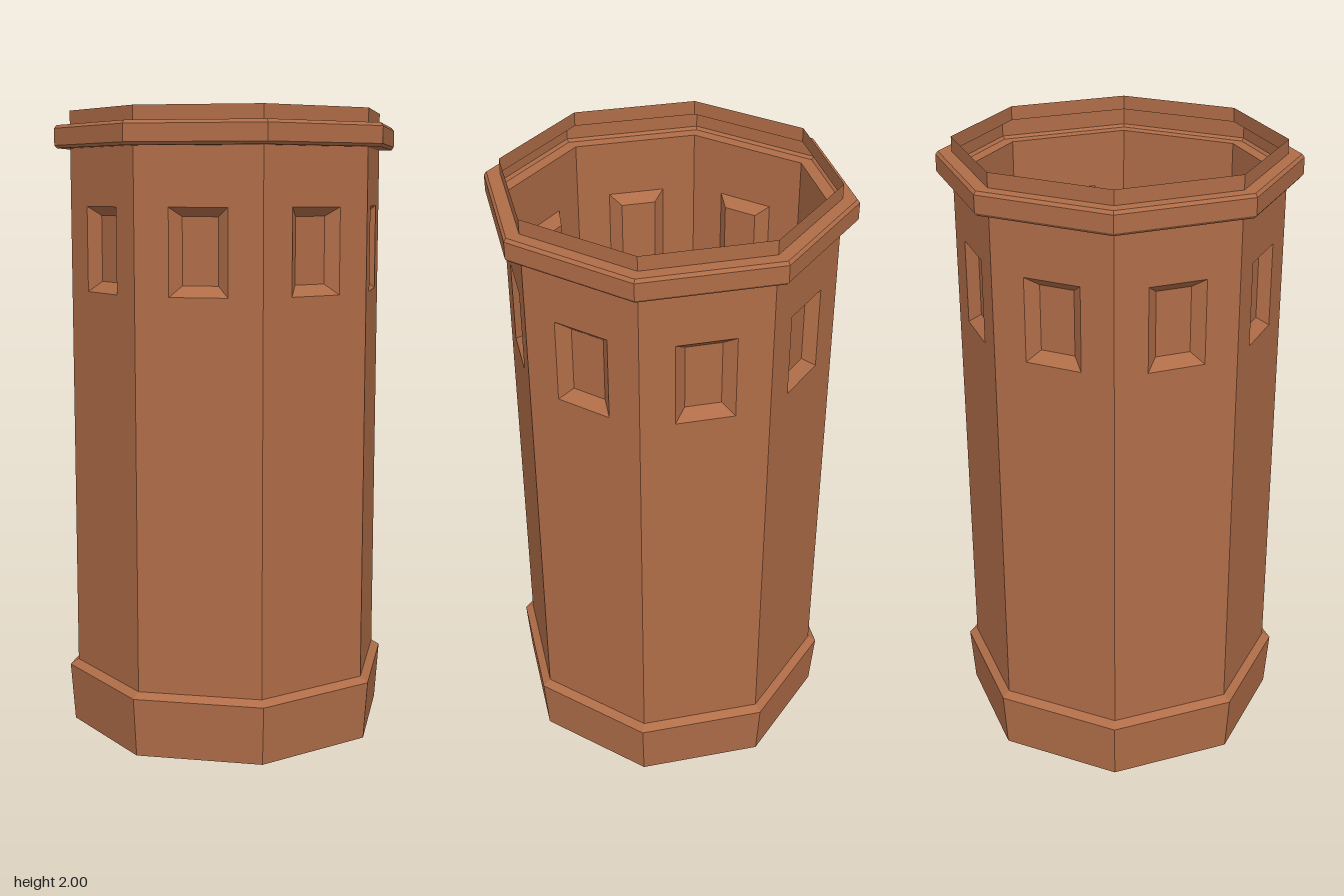
import * as THREE from 'three';

const SIDES = 8;
const RADIUS = 0.51;
const APOTHEM = RADIUS * Math.cos(Math.PI / SIDES);
const HALF_FACE = RADIUS * Math.sin(Math.PI / SIDES);
const WALL_BOTTOM = 0.205, WALL_TOP = 1.883;

const clay = new THREE.MeshStandardMaterial({
  color: 0xb06d48, flatShading: true, side: THREE.DoubleSide,
});

function part(name, geometry) {
  const flat = geometry.index ? geometry.toNonIndexed() : geometry;
  flat.computeVertexNormals();
  const mesh = new THREE.Mesh(flat, clay);
  mesh.name = name;
  return mesh;
}

// Eight-sided ring from [radius, height] pairs, bottom to top
function ring(name, profile) {
  const points = profile.map(([r, y]) => new THREE.Vector2(r, y));
  return part(name, new THREE.LatheGeometry(points, SIDES));
}

// Rectangle corners, counter-clockwise
const rect = (w, y0, y1) => [[-w, y0], [w, y0], [w, y1], [-w, y1]];
const toVectors = (corners) => corners.map(([x, y]) => new THREE.Vector2(x, y));

const opening = rect(0.09, 1.437, 1.703);
const niche = rect(0.055, 1.47, 1.675);

// Flat wall with a rectangular opening
function wallGeometry() {
  const shape = new THREE.Shape(toVectors(rect(HALF_FACE, WALL_BOTTOM, WALL_TOP)));
  shape.holes.push(new THREE.Path(toVectors(opening).reverse()));
  return new THREE.ShapeGeometry(shape);
}

// Sunken window: sloping sides and a flat back panel
function recessGeometry(depth) {
  const positions = [
    ...opening.flatMap(([x, y]) => [x, y, 0]),
    ...niche.flatMap(([x, y]) => [x, y, -depth]),
  ];
  const index = [4, 5, 6, 4, 6, 7];
  for (let i = 0; i < 4; i++) {
    const j = (i + 1) % 4;
    index.push(i, j, j + 4, i, j + 4, i + 4);
  }
  const geometry = new THREE.BufferGeometry();
  geometry.setAttribute('position', new THREE.Float32BufferAttribute(positions, 3));
  geometry.setIndex(index);
  return geometry;
}

export function createModel() {
  const model = new THREE.Group();
  model.name = 'chimneyPot';

  // Flared plinth with a bevelled top edge
  model.add(ring('base', [[0.523, 0], [0.537, 0.188], [RADIUS, WALL_BOTTOM]]));

  // Eight walls, each with a sunken window
  for (let i = 0; i < SIDES; i++) {
    const side = new THREE.Group();
    side.name = 'side' + (i + 1);
    const wall = part('wall', wallGeometry());
    const recess = part('windowRecess', recessGeometry(0.032));
    wall.position.z = recess.position.z = APOTHEM;
    side.add(wall, recess);
    side.rotation.y = ((i + 0.5) / SIDES) * Math.PI * 2;
    model.add(side);
  }

  // Projecting collar and the short lip above it
  model.add(ring('collarAndLip', [
    [RADIUS, WALL_TOP], [0.552, WALL_TOP], [0.56, 1.892],
    [0.56, 1.945], [0.552, 1.955], [RADIUS, 1.955], [RADIUS, 2],
  ]));

  return model;
}
